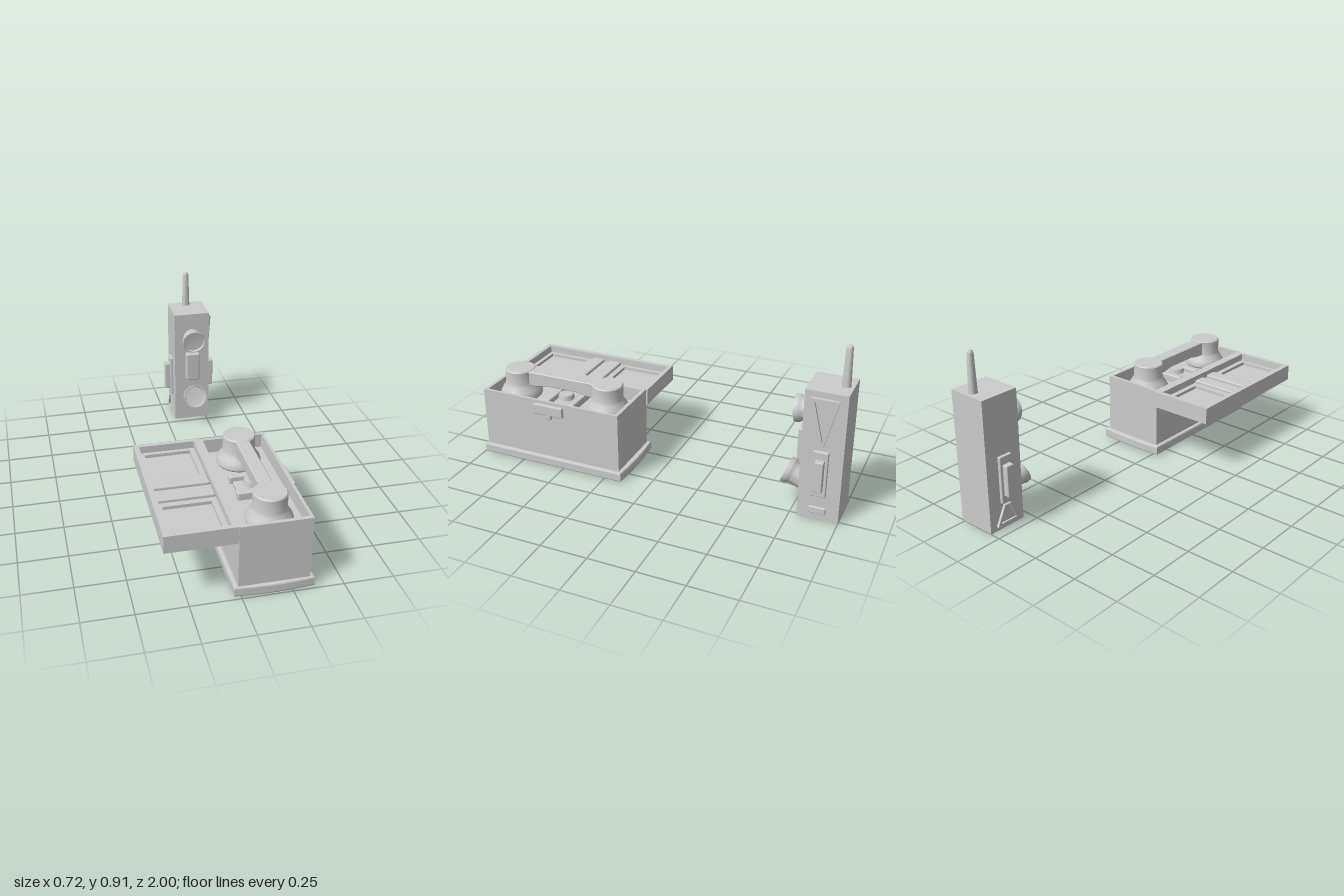
import * as THREE from 'three';
import { toCreasedNormals } from 'three/addons/utils/BufferGeometryUtils.js';
import { RoundedBoxGeometry } from 'three/addons/geometries/RoundedBoxGeometry.js';

const material = new THREE.MeshStandardMaterial({ color: 0xcccccc });

function add(parent, name, geometry, x = 0, y = 0, z = 0) {
  const mesh = new THREE.Mesh(geometry, material);
  mesh.name = name;
  mesh.position.set(x, y, z);
  parent.add(mesh);
  return mesh;
}

// Box given by its two extents on each axis
function block(parent, name, [x0, x1], [y0, y1], [z0, z1], r = 0) {
  const s = [x1 - x0, y1 - y0, z1 - z0];
  const geo = r ? new RoundedBoxGeometry(...s, 2, r) : new THREE.BoxGeometry(...s);
  return add(parent, name, geo, (x0 + x1) / 2, (y0 + y1) / 2, (z0 + z1) / 2);
}

const points = (list) => list.map(([x, y]) => new THREE.Vector2(x, y));
const rect = ([x0, x1], [z0, z1]) => points([[x0, z0], [x1, z0], [x1, z1], [x0, z1]]);

// Horizontal slab from an x/z outline, with optional holes
function slab(parent, name, outline, holes, y0, y1, bevel = 0) {
  const shape = new THREE.Shape(outline);
  shape.holes = holes.map((h) => new THREE.Path(h));
  const geo = new THREE.ExtrudeGeometry(shape, {
    depth: y1 - y0 - 2 * bevel, bevelEnabled: bevel > 0, bevelSize: bevel,
    bevelThickness: bevel, bevelOffset: -bevel, bevelSegments: 2,
  });
  geo.rotateX(Math.PI / 2);
  return add(parent, name, geo, 0, y1 - bevel, 0);
}

function lathe(list, sides) {
  return toCreasedNormals(new THREE.LatheGeometry(points(list), sides), 0.6);
}

function createCase() {
  const group = new THREE.Group();
  group.name = 'case';

  // Plinth with slightly bowed ends
  const outline = [];
  for (let i = 0; i <= 8; i++) {
    const t = i / 4 - 1;
    outline.push([0.16 + 0.195 * t, 0.147 - 0.01 * (1 - t * t)]);
  }
  for (let i = 8; i >= 0; i--) {
    const t = i / 4 - 1;
    outline.push([0.16 + 0.195 * t, 0.988 + 0.011 * (1 - t * t)]);
  }
  slab(group, 'plinth', points(outline), [], 0.005, 0.057, 0.008);

  // Hollow upper body
  const X = [-0.015, 0.335], Z = [0.165, 0.98];
  block(group, 'lowerBody', X, [0.05, 0.31], Z);
  slab(group, 'bodyRim', rect(X, Z), [rect([0.003, 0.32], [0.185, 0.96])], 0.31, 0.386);

  // Cradle between the two cups
  for (const z of [0.49, 0.64]) {
    block(group, 'cradleBar', [0.063, 0.257], [0.305, 0.35], [z - 0.02, z + 0.02], 0.008);
  }
  block(group, 'dialBase', [0.075, 0.245], [0.305, 0.335], [0.52, 0.61], 0.008);
  add(group, 'dial', new THREE.CylinderGeometry(0.04, 0.046, 0.03, 10), 0.16, 0.347, 0.565);

  // Side latch
  block(group, 'latchPlate', [0.33, 0.354], [0.312, 0.371], [0.485, 0.658], 0.006);
  block(group, 'latchTab', [0.33, 0.354], [0.288, 0.325], [0.555, 0.588], 0.006);
  return group;
}

function createLid() {
  const group = new THREE.Group();
  group.name = 'lid';
  const X = [-0.36, -0.012], Z = [0.155, 0.975];
  const inX = [-0.332, -0.045], inZ = [0.18, 0.95];
  const wells = [[0.203, 0.443], [0.688, 0.928]].map((z) => rect([-0.31, -0.073], z));
  slab(group, 'lidPanel', rect(X, Z), [], 0.296, 0.33);
  slab(group, 'lidWells', rect(X, Z), wells, 0.33, 0.347);
  slab(group, 'lidRim', rect(X, Z), [rect(inX, inZ)], 0.347, 0.386);
  // Ribs across the middle
  for (const z of [0.51, 0.62]) {
    block(group, 'lidRib', inX, [0.34, 0.364], [z - 0.036, z + 0.036], 0.008);
  }
  return group;
}

function createHandset() {
  const group = new THREE.Group();
  group.name = 'handset';
  const cup = [[0, 0.308], [0.108, 0.308], [0.115, 0.318], [0.115, 0.335], [0.105, 0.355],
    [0.088, 0.38], [0.083, 0.395], [0.083, 0.466], [0.078, 0.472], [0, 0.472]];
  for (const z of [0.305, 0.848]) add(group, 'cup', lathe(cup, 24), 0.163, 0, z);

  // Grip with a shallow arch underneath
  const profile = points([[-0.85, 0.383], [-0.73, 0.388], [-0.67, 0.4], [-0.48, 0.4],
    [-0.42, 0.388], [-0.3, 0.383], [-0.3, 0.469], [-0.85, 0.469]]);
  const geo = new THREE.ExtrudeGeometry(new THREE.Shape(profile), {
    depth: 0.062, bevelSize: 0.004, bevelThickness: 0.004, bevelOffset: -0.004, bevelSegments: 1,
  });
  geo.rotateY(Math.PI / 2);
  add(group, 'grip', geo, 0.132, 0, 0);
  return group;
}

// Raised triangular frame on a side wall; side is +1 or -1
function triangleFrame(parent, side, wallX, height, outer, inner) {
  const shape = new THREE.Shape(points(outer));
  shape.holes.push(new THREE.Path(points(inner)));
  const geo = new THREE.ExtrudeGeometry(shape, { depth: height, bevelEnabled: false });
  geo.rotateY(side * Math.PI / 2);
  add(parent, 'triangleFrame', geo, wallX, 0, -0.893);
  const panel = new THREE.ExtrudeGeometry(new THREE.Shape(points(inner)), { depth: height * 0.4, bevelEnabled: false });
  panel.rotateY(side * Math.PI / 2);
  add(parent, 'trianglePanel', panel, wallX, 0, -0.893);
}

function createRadio() {
  const group = new THREE.Group();
  group.name = 'radio';
  block(group, 'radioBody', [0.056, 0.268], [0, 0.7], [-1, -0.79]);

  const antenna = [[0, 0.69], [0.023, 0.69], [0.022, 0.72], [0.017, 0.89], [0.015, 0.902], [0.009, 0.91], [0, 0.912]];
  add(group, 'antenna', lathe(antenna, 14), 0.161, 0, -0.96);

  // Flared horns, dished at the mouth
  const horn = [[0, 0], [0.056, 0], [0.057, 0.065], [0.062, 0.08], [0.069, 0.09], [0.07, 0.112],
    [0.064, 0.112], [0.06, 0.1], [0, 0.094]];
  for (const [name, y, z, tilt] of [['earpiece', 0.552, -0.839, 0.1], ['mouthpiece', 0.15, -0.802, -0.37]]) {
    const mesh = add(group, name, lathe(horn, 18), 0.164, y, z);
    mesh.rotation.x = Math.PI / 2 + tilt;
  }
  block(group, 'frontButton', [0.122, 0.204], [0.277, 0.452], [-0.8, -0.754], 0.008);

  // Plate and push bar on both sides
  for (const side of [1, -1]) {
    const span = (a, b) => [0.162 + side * a, 0.162 + side * b].sort((p, q) => p - q);
    block(group, 'switchPlate', span(0.1, 0.122), [0.14, 0.39], [-0.93, -0.855], 0.005);
    block(group, 'switchBar', span(0.1, 0.152), [0.18, 0.348], [-0.915, -0.87], 0.005);
  }
  block(group, 'slotCover', [0.26, 0.28], [0.04, 0.076], [-0.935, -0.85], 0.004);

  triangleFrame(group, 1, 0.266, 0.02,
    [[-0.07, 0.668], [-0.008, 0.418], [0.008, 0.418], [0.07, 0.668]],
    [[-0.05, 0.652], [0, 0.445], [0.05, 0.652]]);
  triangleFrame(group, -1, 0.058, 0.016,
    [[-0.07, 0.025], [0.07, 0.025], [0.02, 0.128], [-0.02, 0.128]],
    [[-0.05, 0.037], [0.05, 0.037], [0.012, 0.116], [-0.012, 0.116]]);
  return group;
}

export function createModel() {
  const model = new THREE.Group();
  model.name = 'fieldTelephoneAndRadio';
  model.add(createCase(), createLid(), createHandset(), createRadio());
  return model;
}
